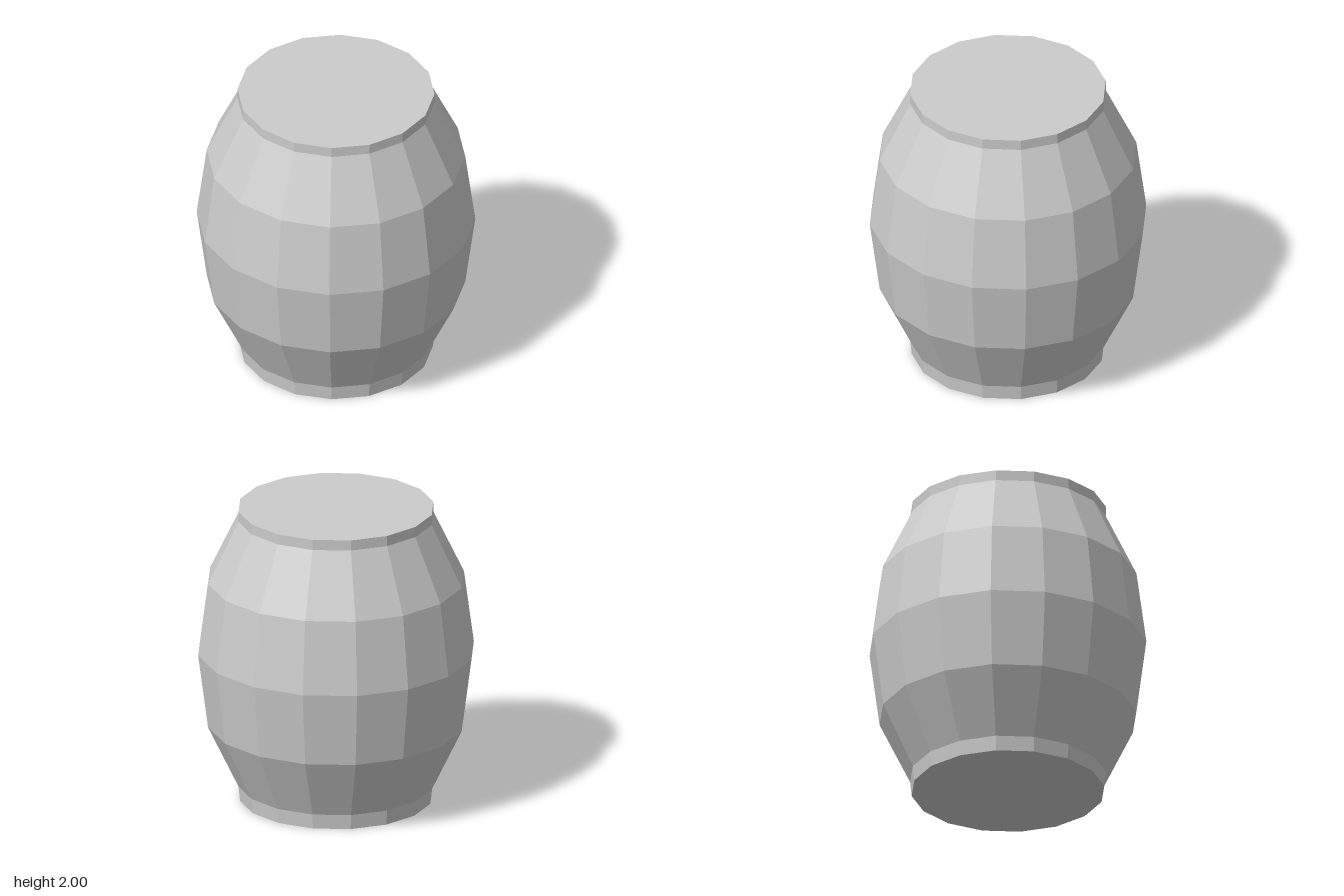
import * as THREE from 'three';

export function createModel() {
  const group = new THREE.Group();
  group.name = 'barrel';

  // Half profile from the bottom centre, over the bulging staves, to the top centre
  const profile = [
    [0, 0], [0.63, 0], [0.64, 0.1], [0.84, 0.52], [0.905, 1.02],
    [0.84, 1.51], [0.64, 1.93], [0.64, 2], [0, 2],
  ].map(([r, y]) => new THREE.Vector2(r, y));

  // Sixteen flat sides, closed at both ends
  const body = new THREE.Mesh(
    new THREE.LatheGeometry(profile, 16),
    new THREE.MeshStandardMaterial({ color: 0xcccccc, flatShading: true }),
  );
  body.name = 'barrelBody';
  group.add(body);

  return group;
}
